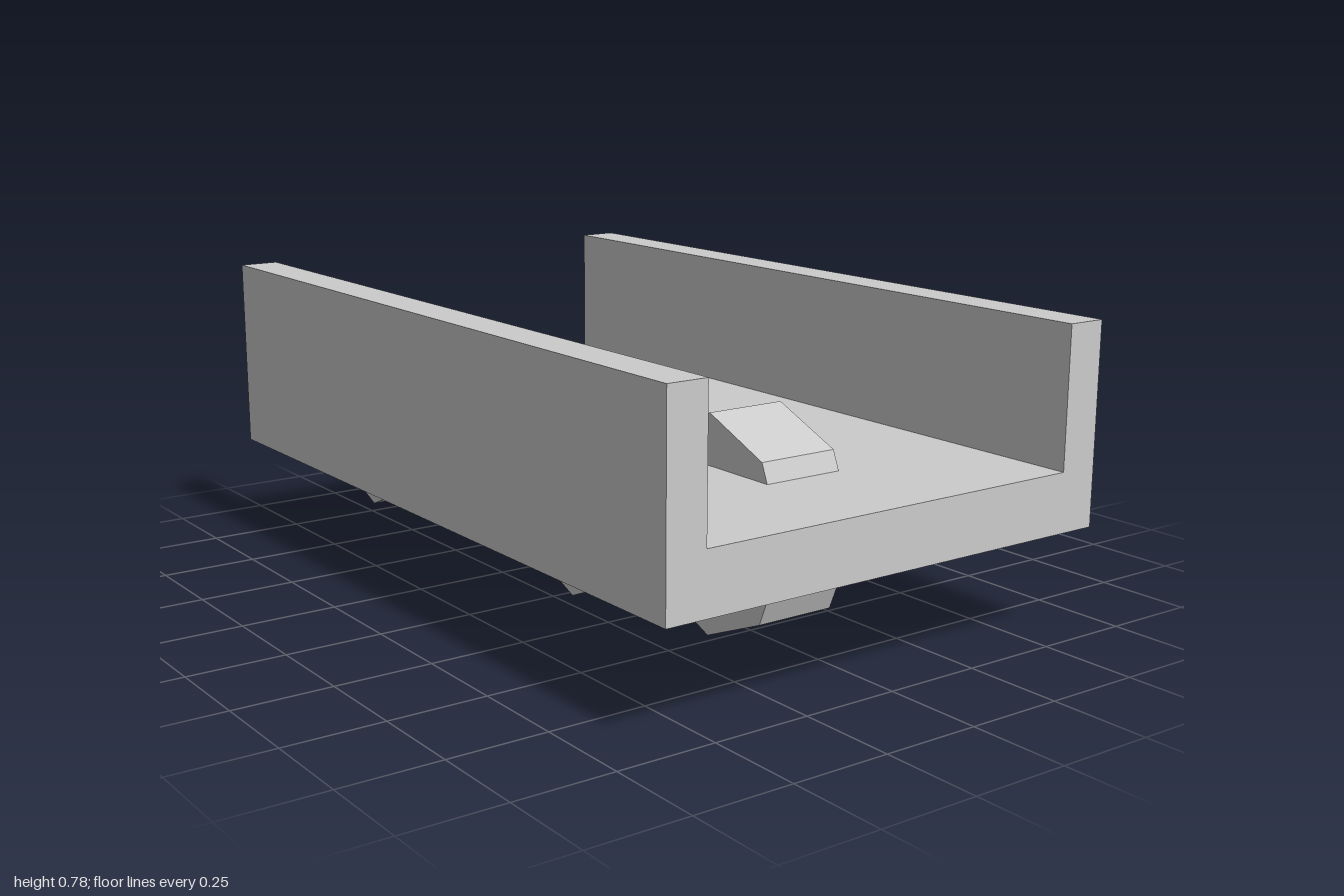
import * as THREE from 'three';

export function createModel() {
  const model = new THREE.Group();
  const material = new THREE.MeshStandardMaterial({ color: 0xcccccc, flatShading: true });

  // U-shaped tray: floor and two side walls in one profile
  const outer = 0.63, inner = 0.527, bottom = 0.275, floor = 0.425, top = 0.777;
  const profile = new THREE.Shape([
    [-outer, bottom], [outer, bottom], [outer, top], [inner, top],
    [inner, floor], [-inner, floor], [-inner, top], [-outer, top],
  ].map(([x, y]) => new THREE.Vector2(x, y)));
  const trayGeometry = new THREE.ExtrudeGeometry(profile, { depth: 2, bevelEnabled: false });
  trayGeometry.translate(0, 0, -1);
  const tray = new THREE.Mesh(trayGeometry, material);
  tray.name = 'tray';
  model.add(tray);

  // Eight-sided bar lying along x
  const octagonBar = (name, radius, length) => {
    const geometry = new THREE.CylinderGeometry(radius, radius, length, 8);
    geometry.rotateZ(Math.PI / 2);
    const mesh = new THREE.Mesh(geometry, material);
    mesh.name = name;
    return mesh;
  };

  // Central wheel on an axle, front and back, poking through the floor
  for (const [name, z] of [['frontWheelSet', 0.468], ['backWheelSet', -0.498]]) {
    const wheelSet = new THREE.Group();
    wheelSet.name = name;
    wheelSet.add(octagonBar('wheel', 0.277, 0.217), octagonBar('axle', 0.1, 1));
    wheelSet.position.set(0, 0.277, z);
    model.add(wheelSet);
  }

  return model;
}
